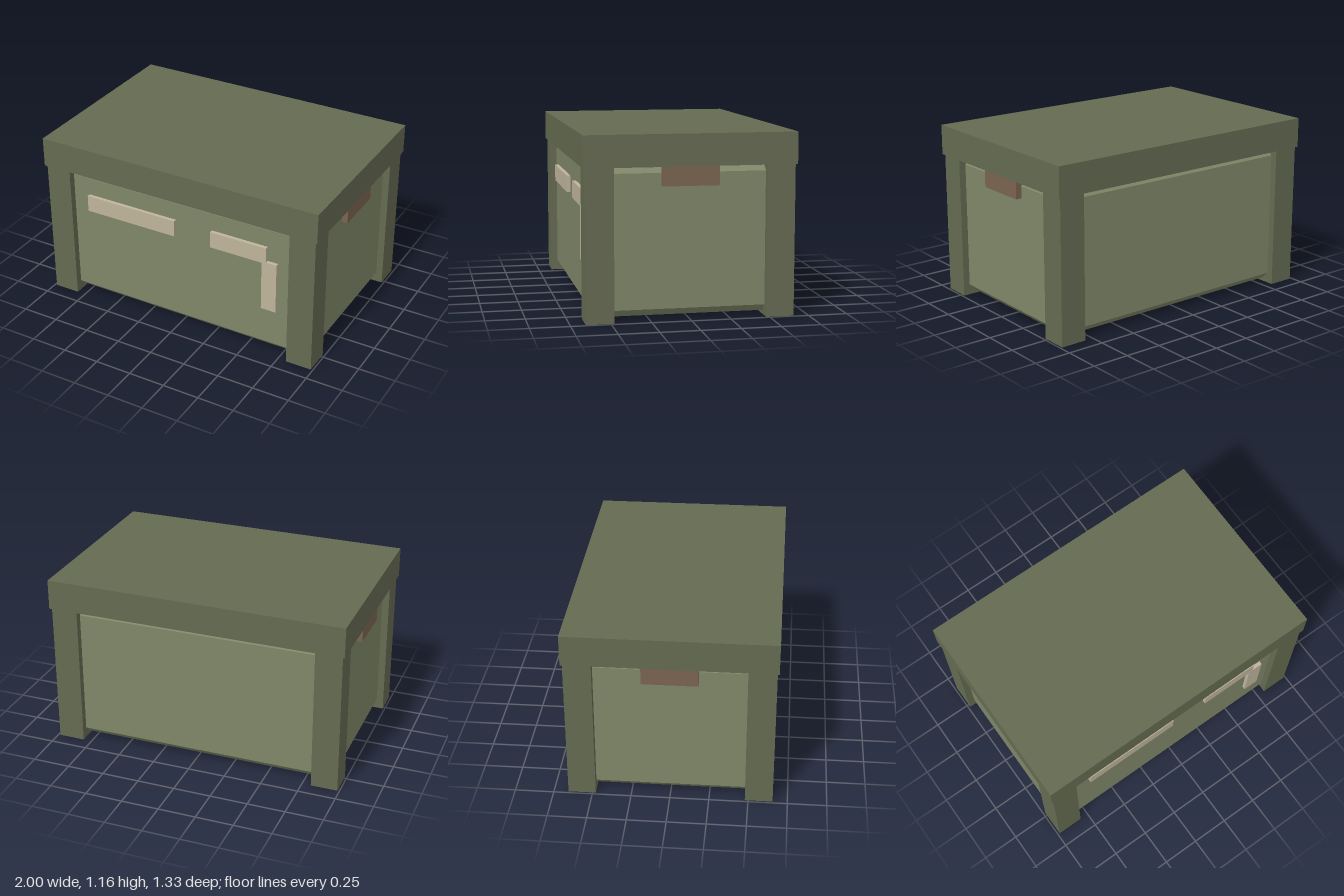
import * as THREE from 'three';

const mat = (color) => new THREE.MeshStandardMaterial({ color, flatShading: true });
const frameMat = mat(0x656b51);
const bodyMat = mat(0x7f8768);
const plateMat = mat(0xbfb49b);
const handleMat = mat(0x7a6450);

// Box given by its min and max corners
function addBox(parent, name, material, [x0, y0, z0], [x1, y1, z1]) {
  const mesh = new THREE.Mesh(new THREE.BoxGeometry(x1 - x0, y1 - y0, z1 - z0), material);
  mesh.position.set((x0 + x1) / 2, (y0 + y1) / 2, (z0 + z1) / 2);
  mesh.name = name;
  parent.add(mesh);
}

function outline(points) {
  return new THREE.Shape(points.map(([x, y]) => new THREE.Vector2(x, y)));
}

export function createModel() {
  const group = new THREE.Group();
  group.name = 'crate';

  // Body: chamfered all round at its top and bottom edges
  const c = 0.045, hx = 0.94 - c, hz = 0.61 - c;
  const bodyGeo = new THREE.ExtrudeGeometry(
    outline([[-hx, -hz], [hx, -hz], [hx, hz], [-hx, hz]]),
    { depth: 0.845, bevelEnabled: true, bevelThickness: c, bevelSize: c, bevelSegments: 1 }
  );
  bodyGeo.rotateX(-Math.PI / 2);
  const body = new THREE.Mesh(bodyGeo, bodyMat);
  body.position.y = 0.07;
  body.name = 'body';
  group.add(body);

  // Lid overhanging the posts slightly
  addBox(group, 'lid', frameMat, [-1, 0.957, -0.667], [1, 1.157, 0.667]);

  // Corner posts and side handles
  for (const sx of [-1, 1]) {
    const side = sx > 0 ? 'left' : 'right';
    for (const sz of [-1, 1]) {
      const x = sx * 0.8975, z = sz * 0.5675, h = 0.0885;
      addBox(group, `${side}${sz > 0 ? 'Front' : 'Back'}Post`, frameMat,
        [x - h, 0, z - h], [x + h, 0.957, z + h]);
    }
    const hxPos = sx * 0.955;
    addBox(group, `${side}Handle`, handleMat,
      [hxPos - 0.025, 0.835, -0.177], [hxPos + 0.025, 0.957, 0.177]);
  }

  // Raised plates on the front panel
  addBox(group, 'longPlate', plateMat, [-0.69, 0.68, 0.6], [-0.025, 0.793, 0.635]);
  const corner = outline([
    [0.24, 0.68], [0.61, 0.68], [0.61, 0.337], [0.715, 0.337],
    [0.715, 0.69], [0.64, 0.69], [0.64, 0.793], [0.24, 0.793],
  ]);
  const cornerPlate = new THREE.Mesh(
    new THREE.ExtrudeGeometry(corner, { depth: 0.035, bevelEnabled: false }), plateMat);
  cornerPlate.position.z = 0.6;
  cornerPlate.name = 'cornerPlate';
  group.add(cornerPlate);

  return group;
}
